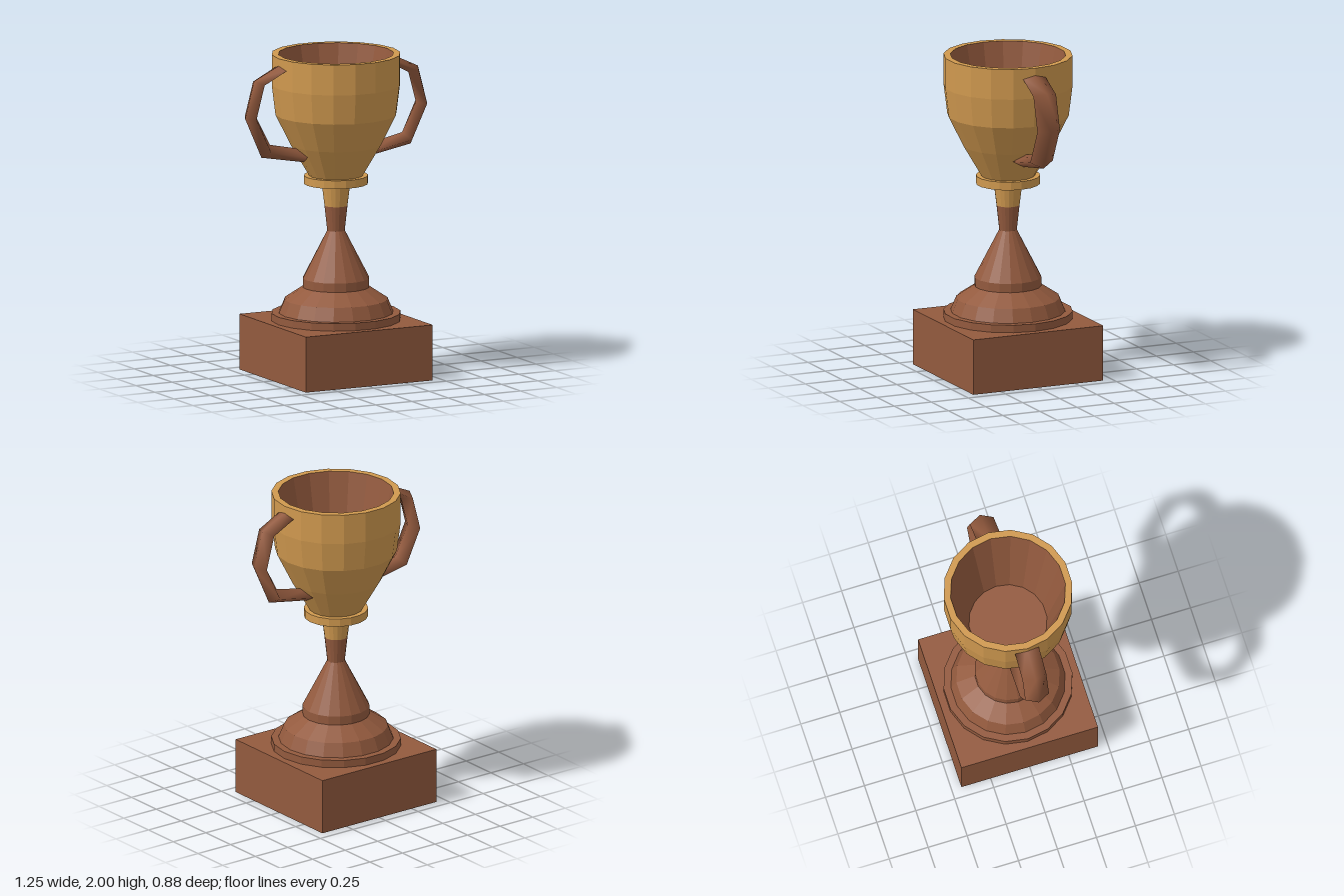
import * as THREE from 'three';

const SIDES = 18;

// Faceted solid of revolution; profile is [radius, height] pairs, outside surface running upward
function turned(name, profile, material) {
  const points = profile.map(([r, y]) => new THREE.Vector2(r, y));
  const geometry = new THREE.LatheGeometry(points, SIDES, Math.PI / 2).toNonIndexed();
  geometry.computeVertexNormals();
  const mesh = new THREE.Mesh(geometry, material);
  mesh.name = name;
  return mesh;
}

// Smooth bar of diamond section swept between an outer and an inner outline
function handleGeometry(side) {
  const outer = [[0.36, 1.972], [0.565, 1.875], [0.627, 1.645], [0.515, 1.395], [0.19, 1.336]];
  const inner = [[0.36, 1.918], [0.5, 1.84], [0.551, 1.65], [0.456, 1.47], [0.19, 1.415]];
  const halfWidth = 0.076;
  const positions = [];
  const index = [];
  outer.forEach(([ox, oy], i) => {
    const [ix, iy] = inner[i];
    const mx = (ox + ix) / 2, my = (oy + iy) / 2;
    positions.push(side * ox, oy, 0, side * mx, my, halfWidth);
    positions.push(side * ix, iy, 0, side * mx, my, -halfWidth);
  });
  const face = (a, b, c) => (side > 0 ? index.push(a, b, c) : index.push(a, c, b));
  for (let i = 0; i < outer.length - 1; i++) {
    for (let k = 0; k < 4; k++) {
      const a = i * 4 + k, b = i * 4 + (k + 1) % 4;
      face(a, b, a + 4);
      face(b, b + 4, a + 4);
    }
  }
  const geometry = new THREE.BufferGeometry();
  geometry.setAttribute('position', new THREE.Float32BufferAttribute(positions, 3));
  geometry.setIndex(index);
  geometry.computeVertexNormals();
  return geometry;
}

export function createModel() {
  const gold = new THREE.MeshStandardMaterial({ color: 0xd0994f });
  gold.name = 'gold';
  const brown = new THREE.MeshStandardMaterial({ color: 0x935a3e });
  brown.name = 'brown';

  const model = new THREE.Group();
  model.name = 'trophyCup';

  // Square plinth
  const plinth = new THREE.Mesh(new THREE.BoxGeometry(0.876, 0.345, 0.876), brown);
  plinth.name = 'plinth';
  plinth.position.y = 0.1725;
  model.add(plinth);

  // Turned foot and stem
  model.add(
    turned('footRing', [[0.397, 0.345], [0.397, 0.392], [0.35, 0.392]], brown),
    turned('footDome', [[0.352, 0.392], [0.318, 0.475], [0.205, 0.55]], brown),
    turned('footCone', [[0.205, 0.55], [0.205, 0.605], [0.054, 0.9]], brown),
    turned('lowerStem', [[0.054, 0.9], [0.071, 1.055]], brown),
    turned('upperStem', [[0.071, 1.055], [0.088, 1.192]], gold),
    turned('collar', [[0.088, 1.192], [0.197, 1.192], [0.197, 1.243], [0.16, 1.243]], gold),
  );

  // Bowl with its rim, and the darker lining
  model.add(
    turned('bowl', [[0.165, 1.243], [0.278, 1.435], [0.373, 1.625], [0.396, 1.81],
      [0.396, 2], [0.354, 2]], gold),
    turned('bowlLining', [[0.354, 2], [0.24, 1.45], [0, 1.45]], brown),
  );

  // Pair of handles
  for (const [name, side] of [['leftHandle', 1], ['rightHandle', -1]]) {
    const handle = new THREE.Mesh(handleGeometry(side), brown);
    handle.name = name;
    model.add(handle);
  }
  return model;
}
